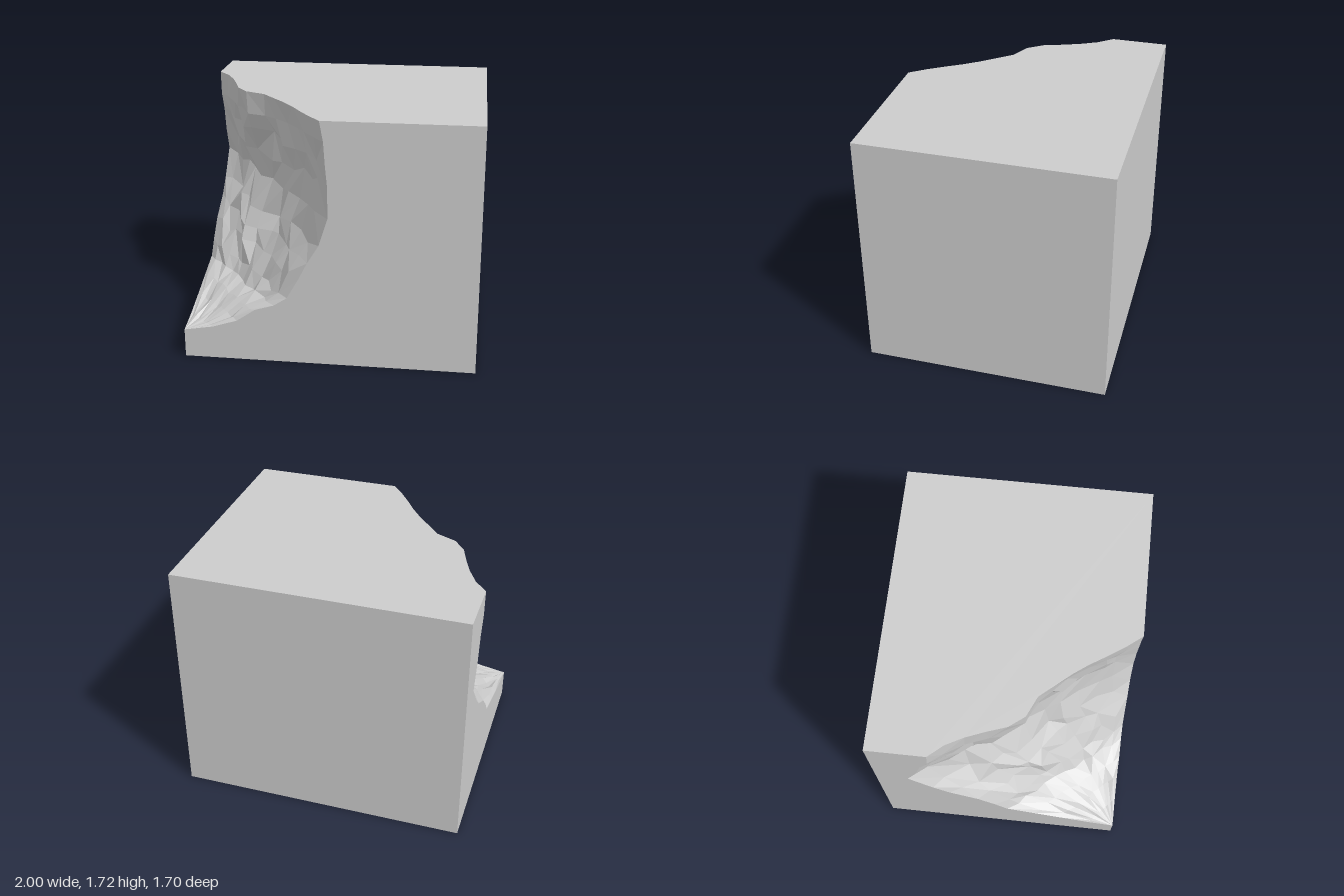
import * as THREE from 'three';

const X = 1, H = 1.72, Z = 0.85, COLS = 12;

// Break rows from top to foot: [y, z] on the left-hand side face, [x, y] on the front face,
// then how strongly the top edge's waviness shows, and the roughness
const ROWS = [
  [1.72, -0.45, -0.05, 1.72, 1, 0],
  [1.55, -0.46, -0.025, 1.58, 0.9, 0.6],
  [1.42, -0.52, -0.015, 1.43, 0.7, 1],
  [1.24, -0.56, 0, 1.27, 0.55, 1],
  [1.07, -0.63, 0, 1.06, 0.4, 0.6],
  [0.875, -0.47, -0.06, 0.87, 0.5, 0.9],
  [0.77, -0.36, -0.14, 0.74, 0.5, 0.9],
  [0.65, -0.16, -0.2, 0.62, 0.3, 0.9],
  [0.53, -0.04, -0.28, 0.48, 0, 0.7],
  [0.42, 0.05, -0.37, 0.42, -0.1, 0.4],
  [0.36, 0.25, -0.5, 0.38, 0, 0.5],
  [0.3, 0.45, -0.63, 0.29, 0, 0.5],
  [0.24, 0.66, -0.8, 0.235, 0, 0.4],
  [0.2, 0.85, -1, 0.2, 0, 0],
];
// Sideways waviness of the broken top edge
const WAVE = [0, 0.01, -0.01, -0.045, -0.087, -0.085, -0.01, 0, 0.01, 0.01, 0, -0.005, 0];

let seed = 7;
function jitter(size) {
  seed = (seed * 16807) % 2147483647;
  return (seed / 2147483647 - 0.5) * 2 * size;
}

function flatMesh(name, points, material) {
  const geometry = new THREE.BufferGeometry().setFromPoints(points);
  geometry.computeVertexNormals();
  const mesh = new THREE.Mesh(geometry, material);
  mesh.name = name;
  return mesh;
}

// Flat face from an outline; u and v give its right and up directions seen from outside
function face(name, outline, u, v, material) {
  const ring = outline.slice();
  const project = (p) => new THREE.Vector2(p.dot(u), p.dot(v));
  if (THREE.ShapeUtils.isClockWise(ring.map(project))) ring.reverse();
  const triangles = THREE.ShapeUtils.triangulateShape(ring.map(project), []);
  return flatMesh(name, triangles.flat().map((i) => ring[i]), material);
}

// One row of points across the break, fixed to the two side faces at its ends
function breakRow([yl, zl, xr, yr, wave, rough]) {
  const dx = xr + X, dz = Z - zl, length = Math.hypot(dx, dz) || 1;
  const nx = dz / length, nz = -dx / length;
  const row = [];
  for (let i = 0; i <= COLS; i++) {
    const inner = i > 0 && i < COLS ? rough : 0;
    const t = i / COLS + jitter(0.028) * inner;
    const out = WAVE[i] * wave + jitter(0.035) * inner * Math.min(1, length);
    const y = yl + (yr - yl) * t + jitter(0.032) * inner;
    row.push(new THREE.Vector3(
      Math.max(-X, -X + dx * t + nx * out), y, Math.min(Z, zl + dz * t + nz * out)));
  }
  return row;
}

export function createModel() {
  const group = new THREE.Group();
  group.name = 'brokenBlock';
  const stone = new THREE.MeshStandardMaterial({ color: 0xcccccc });
  stone.name = 'stone grey';

  const P = (x, y, z) => new THREE.Vector3(x, y, z);
  const rows = ROWS.map(breakRow);

  // Rough broken corner, with facets split along varied diagonals
  const facets = [];
  for (let r = 0; r < rows.length - 1; r++) {
    for (let i = 0; i < COLS; i++) {
      const a = rows[r][i], b = rows[r + 1][i], c = rows[r + 1][i + 1], d = rows[r][i + 1];
      if (r === rows.length - 2) facets.push(a, b, d);
      else if (jitter(1) > 0) facets.push(a, b, c, a, c, d);
      else facets.push(a, b, d, b, c, d);
    }
  }
  group.add(flatMesh('brokenCorner', facets, stone));

  // Faces bitten by the break
  const right = P(1, 0, 0), up = P(0, 1, 0), near = P(0, 0, 1);
  const left = P(-1, 0, 0), far = P(0, 0, -1);
  group.add(face('topFace', [...rows[0], P(X, H, Z), P(X, H, -Z), P(-X, H, -Z)], right, far, stone));
  group.add(face('frontFace',
    [...rows.map((row) => row[COLS]), P(-X, 0, Z), P(X, 0, Z), P(X, H, Z)], right, up, stone));
  group.add(face('brokenSideFace',
    [...rows.map((row) => row[0]), P(-X, 0, Z), P(-X, 0, -Z), P(-X, H, -Z)], near, up, stone));

  // Whole faces
  group.add(face('wholeSideFace', [P(X, 0, Z), P(X, 0, -Z), P(X, H, -Z), P(X, H, Z)], far, up, stone));
  group.add(face('backFace', [P(X, 0, -Z), P(-X, 0, -Z), P(-X, H, -Z), P(X, H, -Z)], left, up, stone));
  group.add(face('bottomFace', [P(-X, 0, -Z), P(X, 0, -Z), P(X, 0, Z), P(-X, 0, Z)], right, near, stone));
  return group;
}
